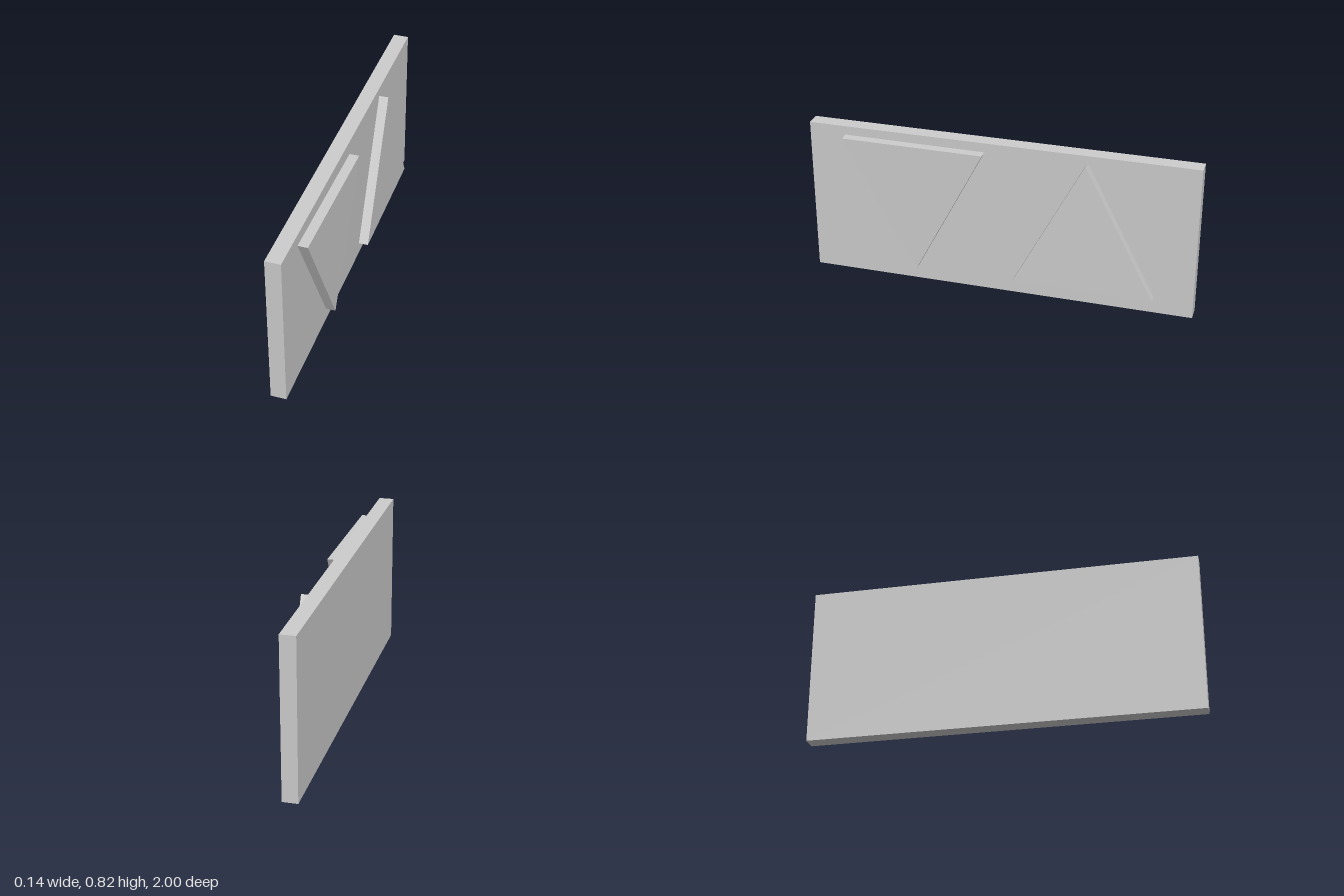
import * as THREE from 'three';

export function createModel() {
  const group = new THREE.Group();
  const grey = new THREE.MeshStandardMaterial({ color: 0xcccccc });
  grey.name = 'light grey';

  // Upright backing board
  const board = new THREE.Mesh(new THREE.BoxGeometry(0.078, 0.82, 2), grey);
  board.name = 'board';
  board.position.set(-0.032, 0.41, 0);
  group.add(board);

  // Triangular plate from [z, y] corners, its inner corner leaning slightly outward
  function addTriangle(name, corners) {
    const shape = new THREE.Shape(corners.map(([z, y]) => new THREE.Vector2(-z, y)));
    const geometry = new THREE.ExtrudeGeometry(shape, { depth: 0.049, bevelEnabled: false });
    geometry.rotateY(Math.PI / 2).translate(0.013, 0, 0);
    const p = geometry.attributes.position;
    for (let i = 0; i < p.count; i++) {
      if (Math.abs(p.getZ(i)) < 0.2) p.setX(i, p.getX(i) + 0.007);
    }
    geometry.computeVertexNormals();
    const mesh = new THREE.Mesh(geometry, grey);
    mesh.name = name;
    group.add(mesh);
  }

  addTriangle('downTriangle', [[0.808, 0.777], [0.433, 0.083], [0.073, 0.778]]);
  addTriangle('upTriangle', [[-0.085, 0.099], [-0.803, 0.09], [-0.444, 0.789]]);

  return group;
}
